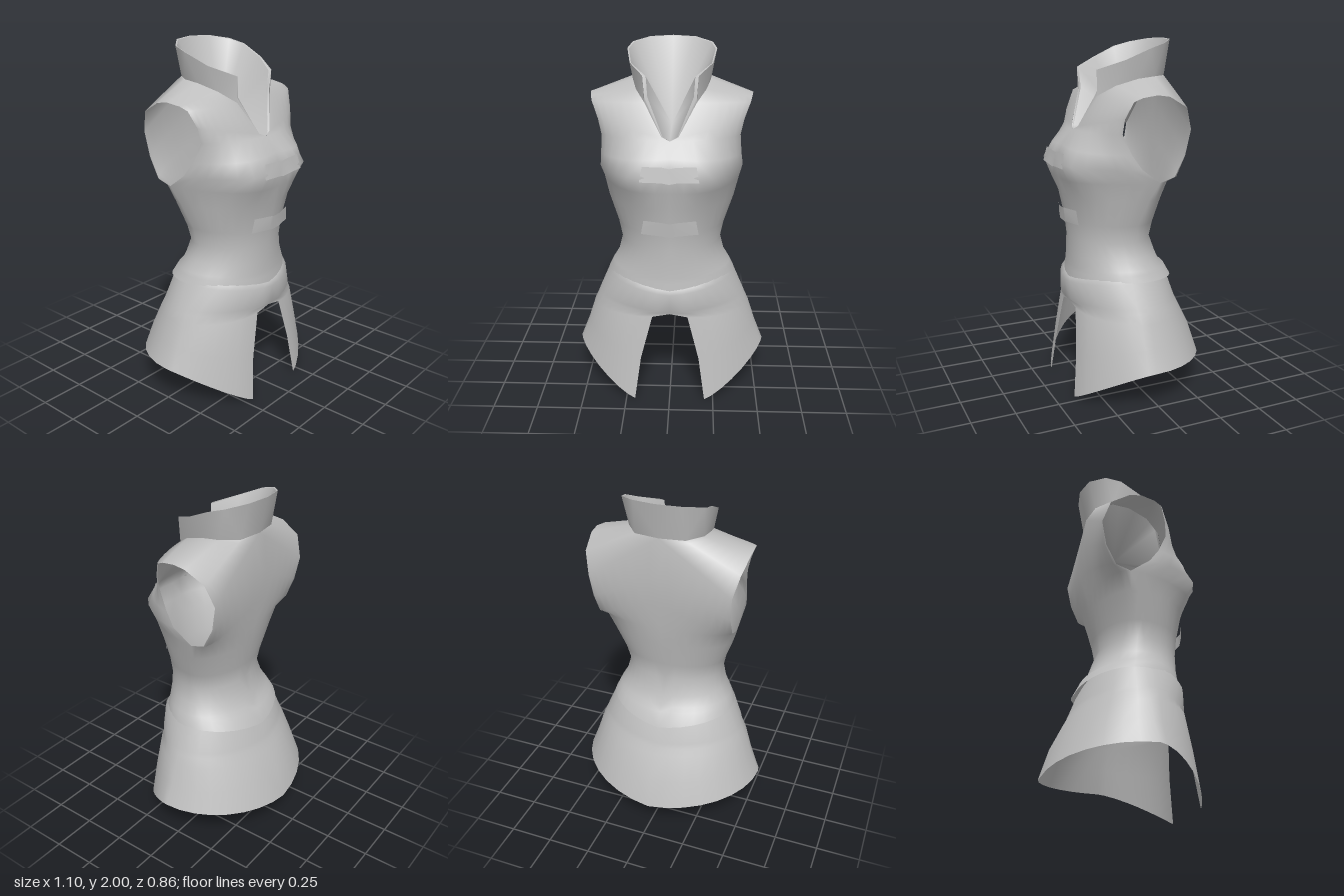
import * as THREE from 'three';
import { mergeGeometries, mergeVertices } from 'three/addons/utils/BufferGeometryUtils.js';

const N = 8; // columns per quarter of the body

// Superellipse arc from a centre point p to a side point q (n = 1 is straight)
function quarter(p, q, n, yPower = 1) {
  const pts = [];
  for (let i = 0; i <= N; i++) {
    const a = (i / N) * Math.PI / 2;
    const s = i === N ? 1 : Math.pow(Math.sin(a), 2 / n);
    const c = i === N ? 0 : Math.pow(Math.cos(a), 2 / n);
    const x = p[0] + (q[0] - p[0]) * s;
    const y = p[1] + (q[1] - p[1]) * Math.pow(s, yPower);
    let z = q[2] + (p[2] - q[2]) * c;
    // bust
    const w = THREE.MathUtils.smoothstep(z, 0.08, 0.28);
    z += 0.06 * w * Math.exp(-((x - 0.2) ** 2) / 0.018 - ((y - 1.33) ** 2) / 0.014);
    pts.push([x, y, z]);
  }
  return pts;
}

// Full half ring: front centre, side, back centre
function halfRing([yf, ys, yb, gap, zf, w, zs, zb, frontN = 2]) {
  const side = [w, ys, zs];
  const front = quarter([gap, yf, zf], side, frontN, 1.15);
  const back = quarter([0, yb, zb], side, 2).reverse();
  return front.concat(back.slice(1));
}

// Skin over rows of points; side = -1 mirrors it across x
function skin(rows, side = 1) {
  const cols = rows[0].length, pos = [], idx = [];
  rows.forEach(row => row.forEach(p => pos.push(p[0] * side, p[1], p[2])));
  for (let r = 0; r < rows.length - 1; r++) {
    for (let c = 0; c < cols - 1; c++) {
      const a = r * cols + c, b = a + 1, d = a + cols, e = d + 1;
      if (side > 0) idx.push(a, d, e, a, e, b);
      else idx.push(a, e, d, a, b, e);
    }
  }
  const g = new THREE.BufferGeometry();
  g.setAttribute('position', new THREE.Float32BufferAttribute(pos, 3));
  g.setIndex(idx);
  return g;
}

// Both halves of one or more skins, welded and smooth
function welded(...grids) {
  const parts = grids.flatMap(rows => [skin(rows), skin(rows, -1)]);
  const g = mergeVertices(mergeGeometries(parts), 1e-4);
  g.computeVertexNormals();
  return g;
}

export function createModel() {
  const group = new THREE.Group();
  const cloth = new THREE.MeshStandardMaterial({ color: 0xbfbfbf, side: THREE.DoubleSide });
  cloth.name = 'grey cloth';
  const add = (name, geometry) => {
    const mesh = new THREE.Mesh(geometry, cloth);
    mesh.name = name;
    group.add(mesh);
  };

  // Lower bodice: yFront, ySide, yBack, gap, zFront, halfWidth, zSide, zBack
  const lower = [
    [1.25, 1.25, 1.25, 0, 0.385, 0.39, -0.05, -0.19],
    [1.15, 1.15, 1.15, 0, 0.365, 0.36, 0, -0.175],
    [1.0, 1.0, 1.0, 0, 0.338, 0.305, 0.04, -0.145],
    [0.9, 0.9, 0.9, 0, 0.328, 0.282, 0.06, -0.13],
    [0.8, 0.81, 0.8, 0, 0.328, 0.305, 0.05, -0.165],
    [0.73, 0.75, 0.735, 0, 0.33, 0.34, 0.04, -0.19],
    [0.7, 0.73, 0.715, 0, 0.333, 0.35, 0.04, -0.222],
    [0.64, 0.69, 0.63, 0, 0.34, 0.368, 0.03, -0.262],
  ].map(halfRing);

  // Chest, shoulder and back: neckline point, armhole point, roundness
  const yoke = [
    [[0, 1.25, 0.385], [0.39, 1.25, -0.05], 2],
    [[0, 1.35, 0.393], [0.4, 1.33, 0.06], 2],
    [[0, 1.43, 0.36], [0.388, 1.41, 0.115], 1.9],
    [[0, 1.51, 0.3], [0.378, 1.52, 0.165], 1.7],
    [[0.045, 1.53, 0.285], [0.395, 1.6, 0.16], 1.5],
    [[0.14, 1.7, 0.21], [0.43, 1.69, 0.125], 1.3],
    [[0.19, 1.755, 0.12], [0.44, 1.71, 0.08], 1],
    [[0.215, 1.79, 0], [0.45, 1.722, 0], 1],
    [[0.21, 1.8, -0.1], [0.45, 1.712, -0.07], 1],
    [[0.14, 1.8, -0.19], [0.435, 1.65, -0.18], 1.3],
    [[0, 1.8, -0.21], [0.405, 1.53, -0.222], 1.5],
    [[0, 1.6, -0.225], [0.395, 1.39, -0.195], 1.7],
    [[0, 1.42, -0.21], [0.392, 1.275, -0.135], 2],
    [[0, 1.25, -0.19], [0.39, 1.25, -0.05], 2],
  ];
  const upper = yoke.map(([p, q, n]) => quarter(p, q, n)).reverse();
  add('bodice', welded(lower, upper));

  // Skirt with an open front and a curved hem; the last value flattens the front flaps
  add('skirt', welded([
    [0.665, 0.73, 0.7, 0, 0.333, 0.345, 0.04, -0.2],
    [0.645, 0.69, 0.62, 0, 0.362, 0.367, 0.03, -0.238],
    [0.54, 0.56, 0.53, 0, 0.36, 0.423, 0.03, -0.275, 1.9],
    [0.52, 0.53, 0.5, 0, 0.338, 0.435, 0.03, -0.288, 1.9],
    [0.5, 0.48, 0.46, 0.1, 0.335, 0.458, 0.03, -0.31, 1.8],
    [0.25, 0.35, 0.33, 0.165, 0.36, 0.5, 0.03, -0.375, 1.65],
    [0, 0.225, 0.155, 0.2, 0.388, 0.55, 0.04, -0.428, 1.5],
  ].map(halfRing)));

  // Stand-up collar rising from the neckline, with an upright front edge
  const neck = yoke.slice(3, 11).map(r => r[0]);
  const base = [...neck.slice(0, 3), ...neck.slice(2)];
  const rim = [
    [0, 1.51, 0.3], [0.045, 1.53, 0.285], [0.14, 1.73, 0.205], [0.148, 1.84, 0.212],
    [0.225, 1.89, 0.08], [0.248, 1.95, -0.06], [0.225, 1.975, -0.15],
    [0.13, 1.995, -0.23], [0, 2, -0.255],
  ];
  add('collar', welded([rim, base]));

  // Rim thickness and the funnel-shaped lining inside the collar
  const inner = rim.map(([x, y, z], i) => [x * (i < 4 ? 0.88 : 0.965), y - 0.003, z * 0.975]);
  add('collarRim', welded([inner, rim]));
  add('neckLining', welded([inner.map(() => [0, 1.53, -0.03]), inner]));

  // Front fastening tabs: thin folded strips (half outline, mirrored)
  const tab = (name, y, h, zMid, zEnd, tilt) => {
    const profile = [
      [0, -0.012, zMid - 0.012], [0.04, 0, zMid], [0.15, 0, zEnd],
    ];
    const row = dy => profile.map(([x, d, z]) =>
      [x * (dy < 0 ? 1.05 : 0.95), y + dy + d, z - dy * tilt]);
    add(name, welded([row(h / 2), row(-h / 2)]));
  };
  tab('upperTab', 1.36, 0.08, 0.422, 0.412, 0.2);
  tab('lowerTab', 1.04, 0.08, 0.37, 0.335, -0.1);

  return group;
}
